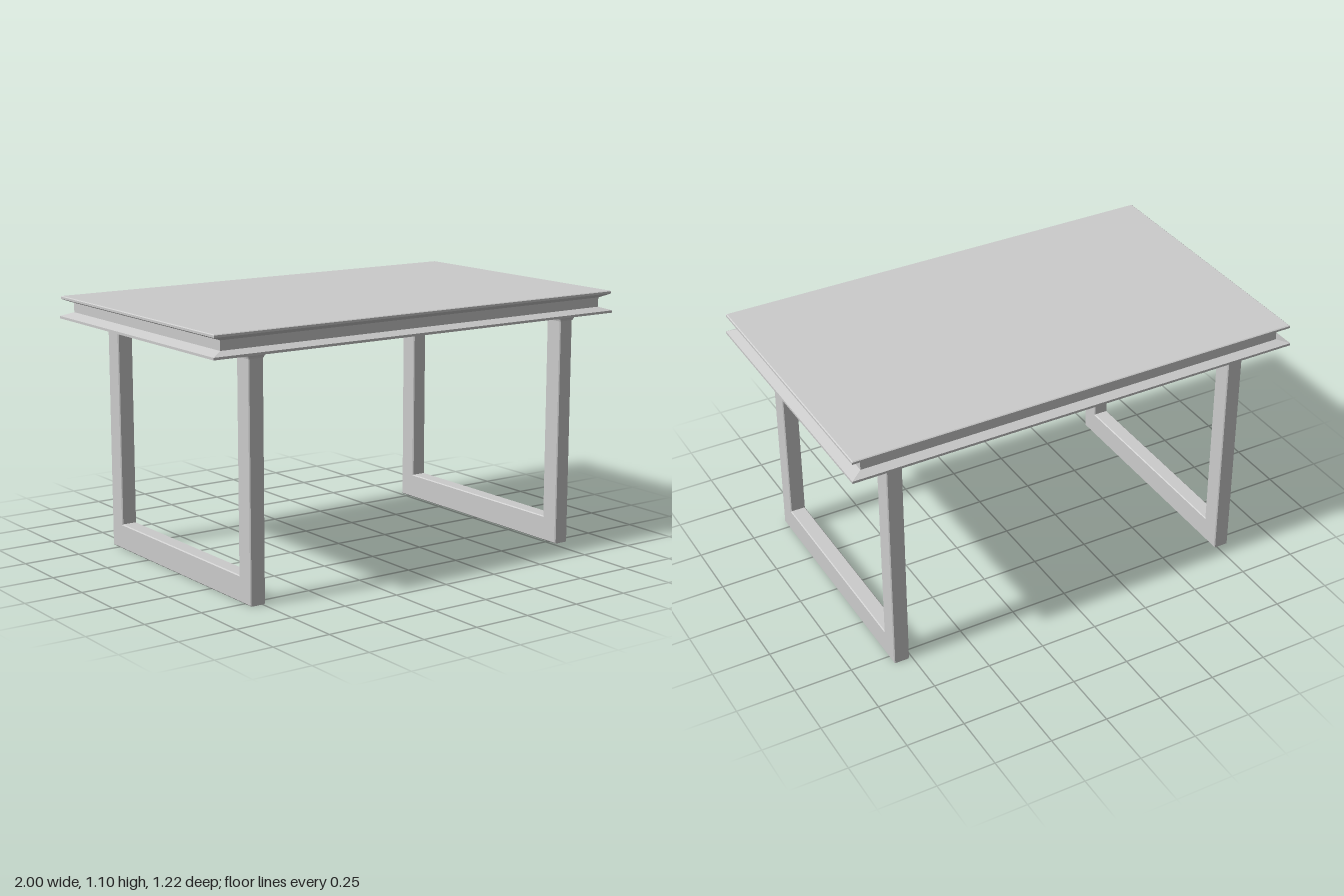
import * as THREE from 'three';

const material = new THREE.MeshStandardMaterial({ color: 0xcccccc });

// Closed solid through rectangular rings [halfX, halfZ, y], listed bottom to top
function loftRects(rings) {
  const pos = [];
  const corners = rings.map(([x, z, y]) => [[x, y, z], [x, y, -z], [-x, y, -z], [-x, y, z]]);
  const quad = (a, b, c, d) => pos.push(...a, ...b, ...c, ...a, ...c, ...d);
  for (let r = 0; r < corners.length - 1; r++) {
    const lo = corners[r], hi = corners[r + 1];
    for (let i = 0; i < 4; i++) {
      const j = (i + 1) % 4;
      quad(lo[i], lo[j], hi[j], hi[i]);
    }
  }
  const [first, last] = [corners[0], corners[corners.length - 1]];
  quad(first[3], first[2], first[1], first[0]);
  quad(...last);
  const geo = new THREE.BufferGeometry();
  geo.setAttribute('position', new THREE.Float32BufferAttribute(pos, 3));
  geo.computeVertexNormals();
  return geo;
}

function addMesh(parent, name, geo) {
  const mesh = new THREE.Mesh(geo, material);
  mesh.name = name;
  parent.add(mesh);
  return mesh;
}

// U-shaped frame lying in the yz plane, with finely bevelled edges
function legFrameGeometry(width) {
  const b = 0.004;
  const outline = [
    [-0.55, 0], [0.548, 0], [0.548, 1], [0.464, 1],
    [0.464, 0.108], [-0.465, 0.108], [-0.465, 1], [-0.55, 1],
  ];
  const shape = new THREE.Shape(outline.map(([z, y]) => new THREE.Vector2(z, y)));
  const geo = new THREE.ExtrudeGeometry(shape, {
    depth: width - 2 * b, bevelEnabled: true, bevelThickness: b,
    bevelSize: b, bevelOffset: -b, bevelSegments: 1,
  });
  geo.translate(0, 0, -(width - 2 * b) / 2);
  geo.rotateY(-Math.PI / 2);
  return geo;
}

export function createModel() {
  const table = new THREE.Group();
  table.name = 'table';

  // Tabletop: overhanging slab and lower ledge around a recessed band
  addMesh(table, 'tabletop', loftRects([
    [0.998, 0.612, 1.0],
    [0.998, 0.612, 1.01],
    [0.948, 0.578, 1.026],
    [0.948, 0.578, 1.066],
    [0.985, 0.601, 1.079],
    [0.993, 0.608, 1.083],
    [0.993, 0.608, 1.092],
    [0.989, 0.604, 1.095],
  ]));

  // Leg frames with a flared collar on top of each post
  const frameGeo = legFrameGeometry(0.068);
  const collarGeo = loftRects([
    [0.034, 0.0425, 0.975],
    [0.036, 0.0445, 0.982],
    [0.044, 0.051, 0.995],
    [0.044, 0.051, 1.002],
  ]);
  for (const [side, x] of [['right', -0.771], ['left', 0.796]]) {
    const frame = new THREE.Group();
    frame.name = `${side}LegFrame`;
    frame.position.x = x;
    addMesh(frame, `${side}Legs`, frameGeo);
    addMesh(frame, `${side}FrontCollar`, collarGeo).position.z = 0.506;
    addMesh(frame, `${side}BackCollar`, collarGeo).position.z = -0.5075;
    table.add(frame);
  }
  return table;
}
